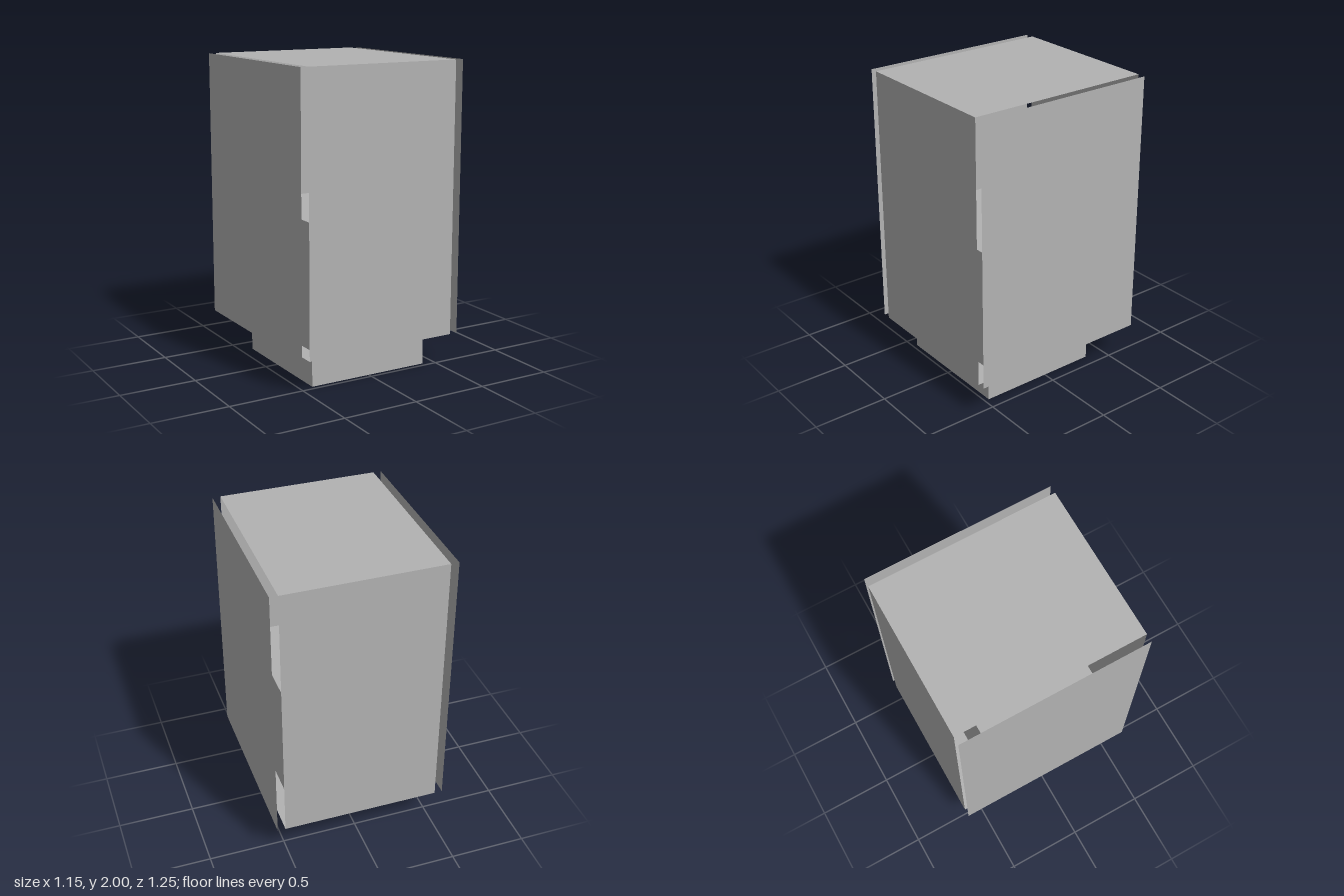
import * as THREE from 'three';

// Outer shell size and where its floor sits
const W = 1.042, D = 1.25, FLOOR = 0.23, TOP = 2;
const H = TOP - FLOOR, MID = (TOP + FLOOR) / 2;
const GAP = 0.052; // the side panels stand off from the shell

export function createModel() {
  const group = new THREE.Group();
  const gray = new THREE.MeshStandardMaterial({ color: 0xb2b2b2, side: THREE.DoubleSide });
  gray.name = 'gray';

  const add = (name, geometry, position, rotation = [0, 0, 0]) => {
    const mesh = new THREE.Mesh(geometry, gray);
    mesh.name = name;
    mesh.position.set(...position);
    mesh.rotation.set(...rotation);
    group.add(mesh);
  };

  // Inner block, showing below the shell as a foot
  add('innerBlock', new THREE.BoxGeometry(0.833, 1.042, 0.833), [0, 0.521, 0.053]);

  // Top and floor panels
  add('topPanel', new THREE.PlaneGeometry(W, D), [0, TOP, 0], [-Math.PI / 2, 0, 0]);
  add('floorPanel', new THREE.PlaneGeometry(W, D), [0, FLOOR, 0], [Math.PI / 2, 0, 0]);

  // Front and back panels
  add('frontPanel', new THREE.PlaneGeometry(W, H), [0, MID, D / 2]);
  add('backPanel', new THREE.PlaneGeometry(W, H), [0, MID, -D / 2], [0, Math.PI, 0]);

  // Detached side panels
  for (const [name, s] of [['leftPanel', 1], ['rightPanel', -1]]) {
    add(name, new THREE.PlaneGeometry(D, H), [s * (W / 2 + GAP), MID, 0], [0, s * Math.PI / 2, 0]);
  }
  return group;
}
